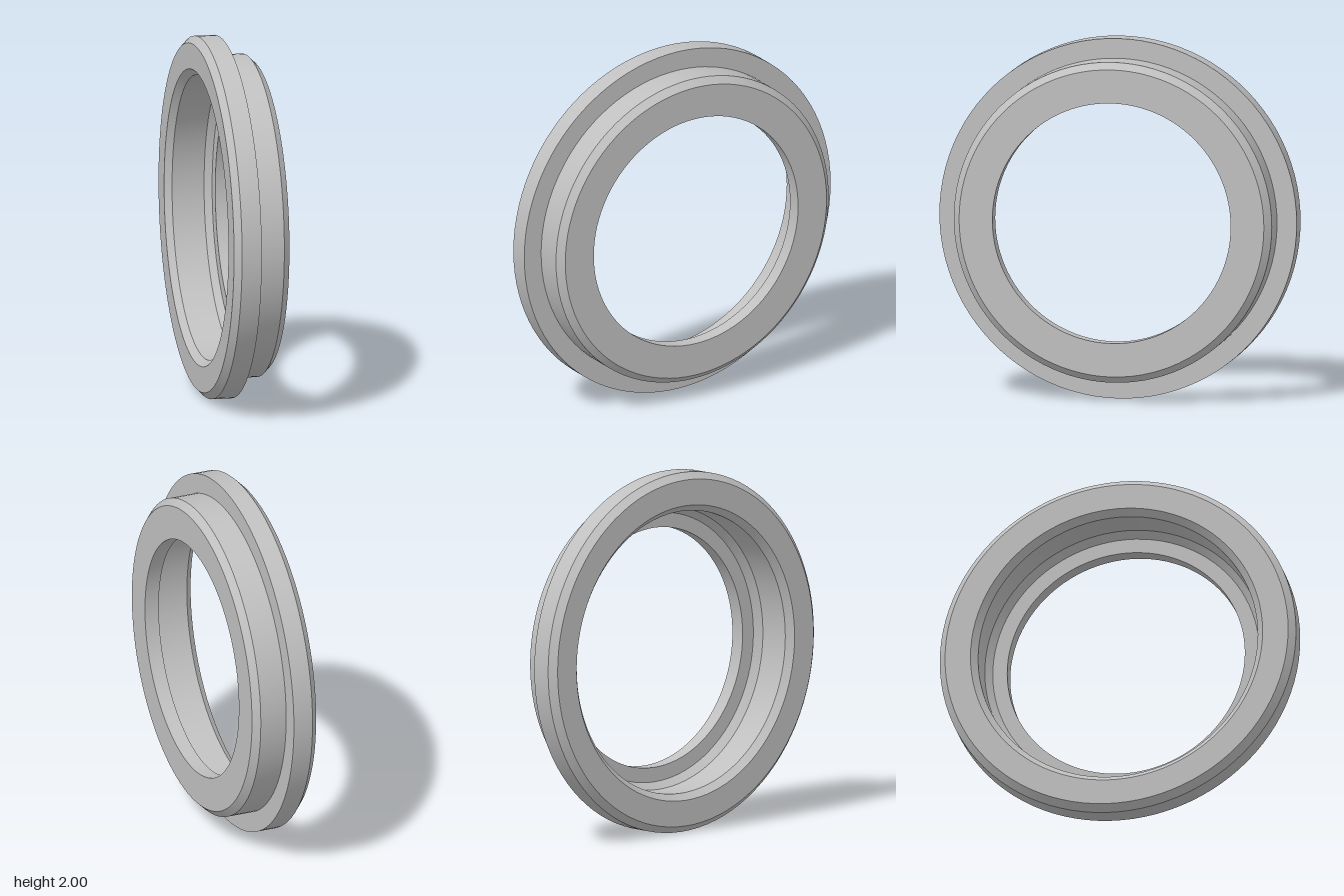
import * as THREE from 'three';
import { toCreasedNormals } from 'three/addons/utils/BufferGeometryUtils.js';

export function createModel() {
  const group = new THREE.Group();
  group.name = 'flangedRing';

  const grey = new THREE.MeshStandardMaterial({ color: 0xc0c0c0 });
  grey.name = 'grey';

  // Closed cross-section as [radius, position along the axis]
  const profile = [
    // flange with chamfered rim
    [0.82, -0.168], [0.963, -0.168], [1, -0.131], [1, -0.02],
    // collar with chamfered end
    [0.89, -0.02], [0.89, 0.131], [0.853, 0.168],
    // narrow bore and shoulder
    [0.667, 0.168], [0.667, 0.086], [0.748, 0.086],
    // wide counterbore, chamfered at both ends
    [0.785, 0.049], [0.785, -0.131], [0.82, -0.168],
  ].map(([r, a]) => new THREE.Vector2(r, a));

  // Turn the cross-section, lay its axis along x and stand it on the ground
  const geometry = toCreasedNormals(new THREE.LatheGeometry(profile, 96), Math.PI / 6);
  geometry.rotateZ(-Math.PI / 2);
  geometry.translate(0, 1, 0);

  const ring = new THREE.Mesh(geometry, grey);
  ring.name = 'ringBody';
  group.add(ring);
  return group;
}
